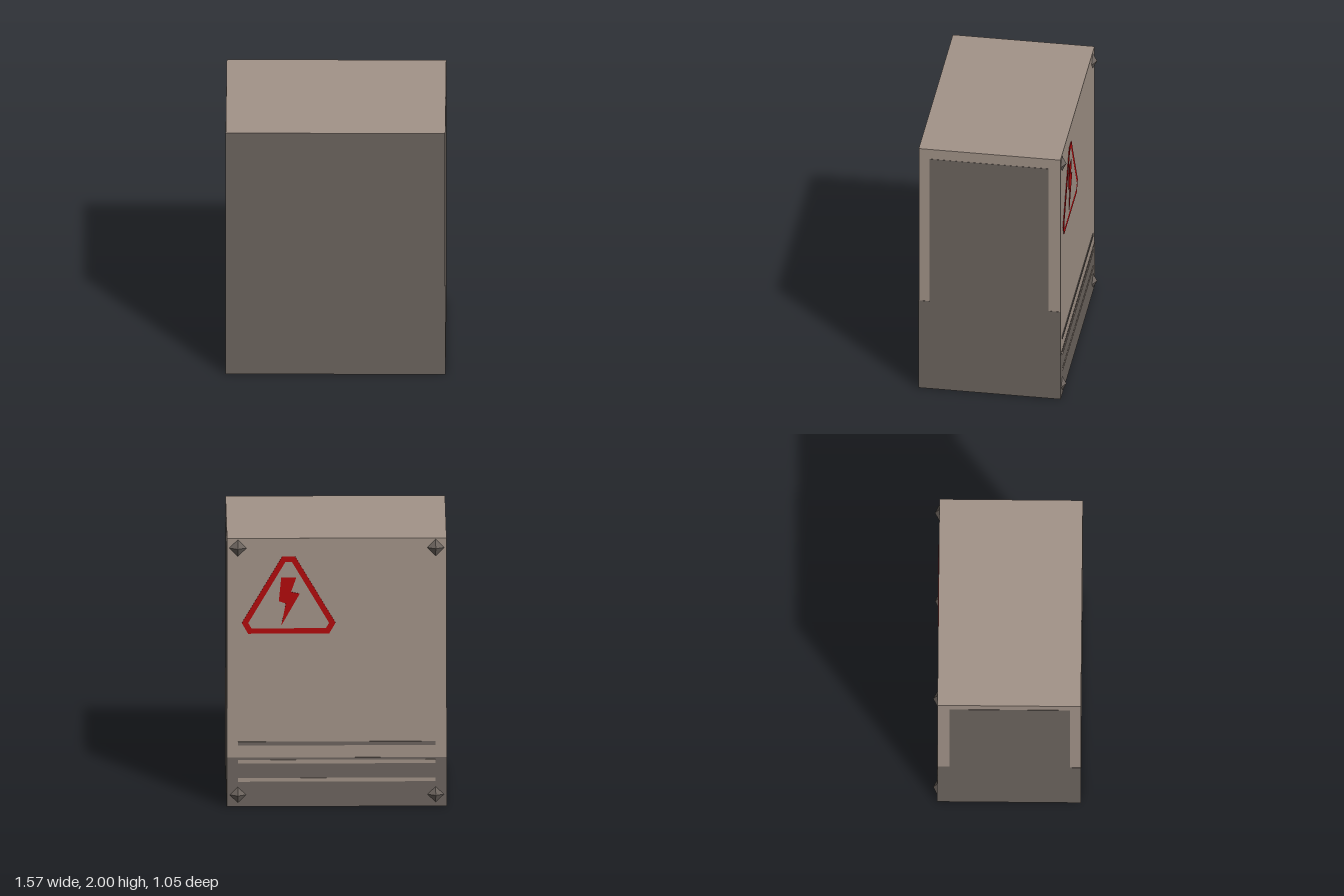
import * as THREE from 'three';

const W = 1.564, H = 2, BACK = -0.495, FRONT = 0.527;
const DEPTH = FRONT - BACK, MID = (FRONT + BACK) / 2;

function material(name, color) {
  const m = new THREE.MeshStandardMaterial({ color });
  m.name = name;
  return m;
}

export function createModel() {
  const light = material('lightTaupe', 0xa39489);
  const dark = material('darkTaupe', 0x6d655f);
  const red = material('warningRed', 0xb20a0c);
  const model = new THREE.Group();
  model.name = 'electricalCabinet';

  function add(name, geometry, mat, x, y, z) {
    const mesh = new THREE.Mesh(geometry, mat);
    mesh.name = name;
    mesh.position.set(x, y, z);
    model.add(mesh);
    return mesh;
  }

  // Cabinet: dark front and underside, light elsewhere
  add('cabinet', new THREE.BoxGeometry(W, H, DEPTH),
    [light, light, light, dark, dark, light], 0, H / 2, MID);

  // Dark side panels: full-depth base and a narrower upper field
  for (const s of [-1, 1]) {
    const side = s > 0 ? 'right' : 'left';
    add(side + 'LowerPanel', new THREE.BoxGeometry(0.004, 0.73, DEPTH), dark, s * W / 2, 0.365, MID);
    add(side + 'UpperPanel', new THREE.BoxGeometry(0.004, 1.19, 0.86), dark, s * W / 2, 1.325, 0.02);
  }

  // Back: dark base band with three vent stripes
  add('backBand', new THREE.BoxGeometry(W, 0.365, 0.004), dark, 0, 0.1825, BACK);
  [[0.47, dark], [0.335, light], [0.2, light]].forEach(([y, mat], i) =>
    add('ventStripe' + (i + 1), new THREE.BoxGeometry(1.41, 0.028, 0.008), mat, 0, y, BACK));

  // Warning sign: clipped triangular ring and a bolt
  const points = (list) => list.map(([x, y]) => new THREE.Vector2(x, y));
  const mirrored = (half) => points([...half, ...half.map(([x, y]) => [-x, y]).reverse()]);
  const plate = (shape) => new THREE.ExtrudeGeometry(shape, { depth: 0.006, bevelEnabled: false });

  const ring = new THREE.Shape(mirrored([[0.046, 1.865], [0.334, 1.37], [0.289, 1.29]]));
  ring.holes.push(new THREE.Path(mirrored([[0.023, 1.825], [0.288, 1.37], [0.265, 1.33]])));
  add('warningTriangle', plate(ring), red, 0.343, 0, BACK - 0.004);

  const bolt = new THREE.Shape(points([
    [0.396, 1.709], [0.289, 1.707], [0.326, 1.6], [0.264, 1.587],
    [0.396, 1.349], [0.363, 1.515], [0.413, 1.532],
  ]));
  add('warningBolt', plate(bolt), red, 0, 0, BACK - 0.004);

  // Four-sided studs at the back corners
  const stud = new THREE.ConeGeometry(0.062, 0.032, 4).toNonIndexed();
  stud.rotateX(-Math.PI / 2);
  stud.computeVertexNormals();
  for (const x of [-0.705, 0.705])
    for (const y of [0.088, 1.928]) add('cornerStud', stud, dark, x, y, BACK - 0.016);

  return model;
}
